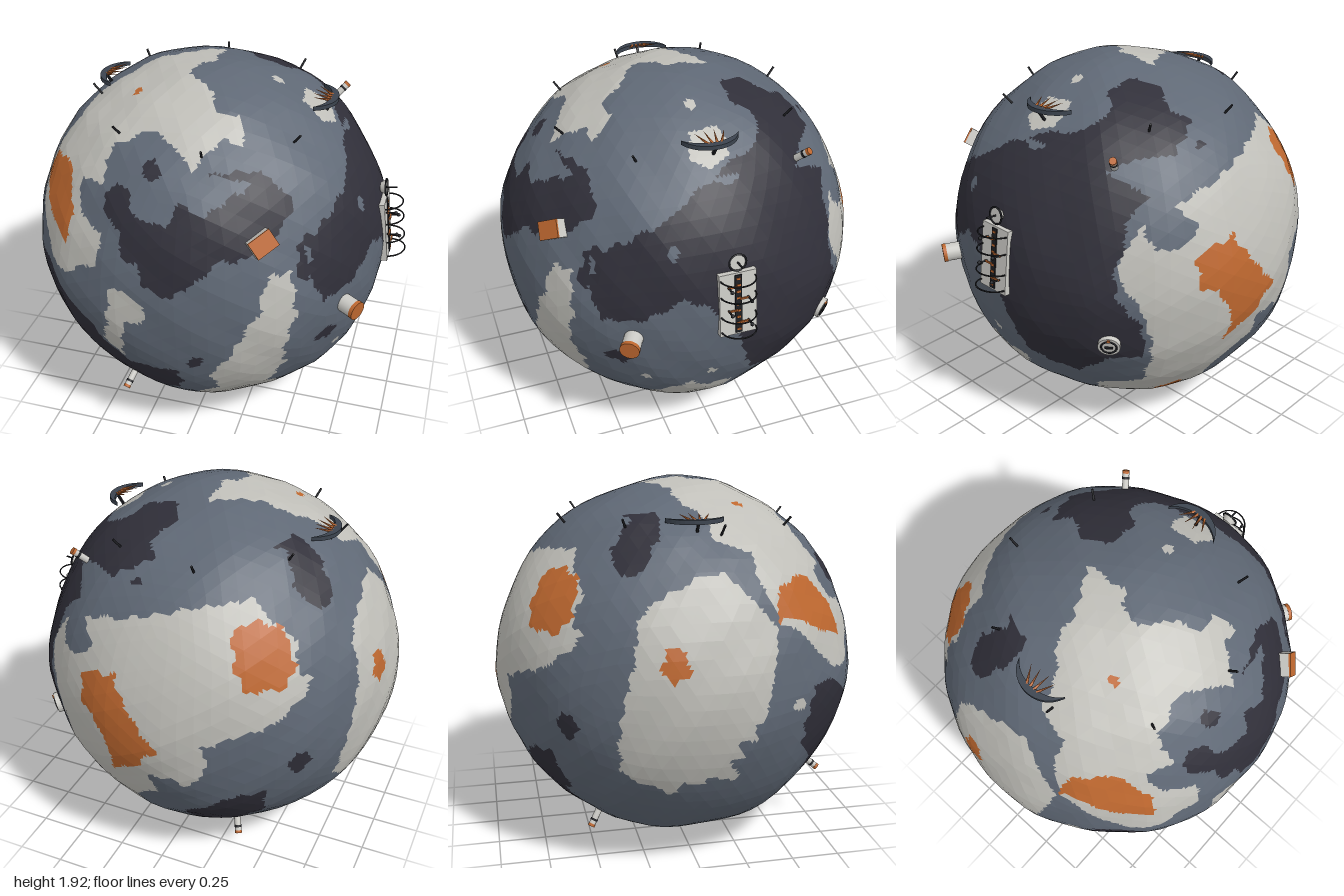
import * as THREE from 'three';

const mat = (name, color) => Object.assign(new THREE.MeshStandardMaterial({ color }), { name });
const M = {
  slate: mat('slate', 0x5f6875), light: mat('pale stone', 0xc0bfb9), dark: mat('charcoal', 0x302f39),
  orange: mat('rust orange', 0xbd672f), hull: mat('hull white', 0xcbcac5),
  black: mat('black', 0x1d1e22), gun: mat('gunmetal', 0x3c444f),
};
const CENTRE = new THREE.Vector3(-0.05, 0.957, 0);
const R = 0.955;

// A painting plane: d faces outward, u and v are its axes
const plane = (d, u, v) => ({ d: new THREE.Vector3(...d), u: new THREE.Vector3(...u), v: new THREE.Vector3(...v), patches: [] });
function tilted(azimuth, elevation) {
  const a = THREE.MathUtils.degToRad(azimuth), e = THREE.MathUtils.degToRad(elevation);
  const s = Math.sin(a), c = Math.cos(a), se = Math.sin(e), ce = Math.cos(e);
  return plane([s * ce, se, c * ce], [c, 0, -s], [-s * se, ce, -c * se]);
}
const front = plane([0, 0, 1], [1, 0, 0], [0, 1, 0]);
const side = plane([1, 0, 0], [0, 0, -1], [0, 1, 0]);
const top = plane([0, 1, 0], [1, 0, 0], [0, 0, 1]);
const backLeft = tilted(215, 28), backLow = tilted(138, -28);
const planes = [front, side, top, backLeft, backLow];

// Patch outlines in hundredths of a unit from the body centre; later ones cover earlier ones
const paint = (p, colour, ...pts) => p.patches.push({ colour, pts });
const dot = (p, colour, x, y, r) => paint(p, colour, x - r, y, x - r * 0.4, y + r, x + r * 0.6, y + r * 0.9, x + r, y, x + r * 0.4, y - r, x - r * 0.6, y - r * 0.8);

paint(front, 'light', -42, 85, -13, 98, 9, 98, 28, 85, 25, 73, 11, 69, 9, 82, -2, 83, -6, 78, -21, 75, -26, 68, -34, 67, -36, 56, -49, 52, -48, 40, -33, 35, -34, 21, -53, 8, -65, 7, -74, 19, -82, 35, -80, 45, -66, 70, -56, 80);
paint(front, 'orange', -64, 60, -57, 55, -57, 45, -52, 35, -56, 22, -69, 29, -82, 40, -77, 49);
paint(front, 'dark', -34, 53, -27, 57, -18, 56, -18, 48, -7, 47, 1, 45, 6, 55, 19, 51, 30, 59, 43, 64, 54, 60, 56, 51, 51, 43, 38, 33, 25, 32, 19, 24, 6, 13, -7, 16, -13, 27, -21, 29, -21, 40, -34, 45);
paint(front, 'dark', -79, 3, -69, 2, -53, -8, -40, -19, -34, -29, -21, -39, 6, -36, 7, -45, 3, -55, -10, -61, -16, -70, -37, -70, -48, -61, -56, -48, -69, -37, -77, -27, -80, -13);
paint(front, 'light', -26, 11, -16, 11, -7, 5, -9, -4, -19, -8, -21, -21, -24, -36, -34, -24, -29, -11);
paint(front, 'light', 49, 24, 59, 23, 62, 0, 57, -19, 57, -35, 48, -53, 53, -66, 38, -89, 6, -98, -16, -97, -42, -83, -29, -78, 6, -75, 11, -61, 25, -51, 22, -37, 30, -27, 38, -11, 46, 5);
paint(front, 'orange', 5, -78, 11, -79, 12, -84, 5, -84);
paint(front, 'orange', 23, -82, 30, -81, 27, -88, 21, -88);
paint(front, 'dark', 71, 53, 80, 57, 88, 40, 94, 24, 95, -8, 86, -5, 76, 0, 70, 9, 62, 21, 60, 35, 71, 40);
dot(front, 'dark', -11, 66, 5); dot(front, 'dark', 75, -22, 4); dot(front, 'dark', 16, -28, 4); dot(front, 'light', -84, -4, 3);

paint(top, 'light', 1, -19, -21, -7, -37, -5, -48, 5, -61, 8, -64, 24, -75, 27, -83, 40, -61, 75, -45, 72, -32, 56, -13, 52, -5, 59, 8, 67, 13, 59, 19, 52, 29, 50, 24, 40, 11, 40, 8, 29, -6, 20, -5, 8, 2, 3);
paint(top, 'light', -86, -45, -67, -67, -35, -88, 3, -98, 40, -88, 67, -67, 75, -51, 61, -63, 40, -75, 13, -76, -8, -73, -29, -67, -43, -59, -67, -48);
paint(top, 'dark', -64, -40, -51, -40, -39, -32, -43, -18, -53, -16, -67, -27);
paint(top, 'dark', 13, -56, 32, -61, 45, -53, 59, -45, 67, -29, 80, -13, 94, 8, 88, 40, 78, 56, 70, 40, 72, 8, 56, -21, 43, -29, 32, -18, 16, -21, 12, -35, 19, -45);
paint(top, 'light', 48, -7, 61, -9, 64, 5, 59, 13, 47, 8);
paint(top, 'dark', 16, 67, 30, 61, 43, 56, 58, 59, 59, 72, 20, 80);
paint(top, 'orange', -82, 35, -72, 36, -61, 51, -56, 72, -66, 74, -78, 55);
dot(top, 'orange', -31, 27, 2.5); dot(top, 'light', 35, 3, 3); dot(top, 'dark', -13, 70, 5);

paint(side, 'dark', -58, 38, -35, 50, -25, 54, -13, 65, 7, 65, 13, 72, 28, 77, 25, 86, 2, 94, 28, 91, 54, 73, 75, 59, 62, 52, 59, 39, 64, 23, 62, 8, 75, -5, 67, -23, 56, -39, 13, -41, 6, -23, 2, -5, -11, 10, -25, 18, -45, 5, -61, 2, -68, 21, -61, 26, -65, 38);
paint(side, 'light', -2, 84, 14, 84, 16, 78, 10, 71, -1, 75);
paint(side, 'light', 67, 47, 82, 44, 88, 29, 98, 3, 97, -23, 85, -46, 59, -72, 38, -92, 20, -87, 30, -76, 38, -55, 59, -47, 75, -29, 77, -13, 88, 3, 82, 13, 69, 29);
paint(side, 'light', -30, -52, -19, -42, -11, -49, 4, -49, 2, -57, -11, -65, -13, -75, -30, -76, -43, -66);
paint(side, 'light', -87, 24, -78, 21, -77, -13, -74, -39, -56, -60, -32, -80, -45, -86, -72, -67, -87, -39);
dot(side, 'dark', -55, -22, 5); dot(side, 'light', -10, -35, 2.5); dot(side, 'light', -41, -37, 2.5); dot(side, 'slate', -28, 40, 3);

paint(backLeft, 'light', -85, 27, -59, 23, -30, 25, 1, 27, 4, 18, 17, 7, 17, -10, 24, -13, 21, -19, 4, -33, -19, -39, -30, -42, -28, -56, -42, -65, -53, -68, -68, -58, -78, -58, -90, -30, -97, -10, -94, 13);
paint(backLeft, 'slate', -88, 21, -78, 20, -76, 12, -82, 5, -89, 12);
paint(backLeft, 'orange', -83, -10, -68, -2, -65, -16, -59, -28, -51, -42, -55, -53, -68, -56, -71, -39, -82, -25);
paint(backLeft, 'orange', -13, 13, -2, 17, 11, 13, 16, -5, 10, -16, -10, -16, -14, -5);
paint(backLeft, 'light', -22, 87, 4, 96, 33, 88, 61, 74, 80, 55, 88, 39, 94, 13, 92, -16, 78, -53, 56, -70, 41, -68, 47, -39, 50, -16, 47, 4, 59, 27, 68, 41, 61, 53, 36, 59, 24, 73, -2, 77, -7, 84);
paint(backLeft, 'orange', 61, -7, 68, -5, 70, -13, 65, -22, 60, -16);
paint(backLeft, 'orange', 79, 53, 87, 49, 94, 33, 89, 27, 82, 39);
paint(backLeft, 'dark', -74, 41, -76, 53, -53, 73, -33, 79, -25, 76, -28, 64, -42, 50, -51, 39);
paint(backLeft, 'dark', 18, 53, 30, 56, 36, 44, 40, 24, 30, 18, 20, 30);
paint(backLeft, 'dark', -25, -76, -16, -71, 2, -70, 4, -82, -5, -97, -22, -92);
dot(backLeft, 'dark', 18, -55, 6); dot(backLeft, 'slate', 42, -74, 5);

paint(backLow, 'dark', -79, 44, -61, 58, -44, 78, -20, 92, -5, 92, -4, 81, -14, 72, -13, 49, -1, 35, 2, 15, -18, 12, -30, -8, -62, -3, -63, 12, -76, 26, -87, 21);
paint(backLow, 'light', -13, 74, 5, 84, 36, 81, 56, 67, 76, 55, 91, 21, 93, 12, 79, 9, 62, 12, 59, -2, 39, -14, 36, -25, 51, -48, 48, -66, 30, -71, 16, -80, -4, -83, -10, -74, 2, -66, -1, -54, -21, -43, -21, -25, 2, -8, 5, 21, -1, 44, -11, 55);
paint(backLow, 'slate', -1, 78, 13, 82, 28, 75, 25, 68, 5, 68);
paint(backLow, 'orange', 26, 61, 45, 67, 49, 55, 56, 49, 67, 29, 59, 21, 42, 12, 45, 29, 36, 44, 28, 49);
paint(backLow, 'orange', 9, -29, 22, -25, 26, -36, 16, -48, 5, -45);
paint(backLow, 'dark', 52, -45, 59, -25, 76, -17, 83, -22, 76, -40, 59, -54);
paint(backLow, 'light', -73, -20, -59, -17, -56, -31, -64, -40, -61, -57, -70, -60, -77, -37);
paint(backLow, 'dark', -37, -60, -28, -56, -18, -61, -25, -68, -35, -68);
paint(backLow, 'light', -56, -71, -44, -80, -21, -86, -4, -97, -33, -92);

function inside(pts, x, y) {
  let hit = false;
  for (let i = 0, j = pts.length - 2; i < pts.length; j = i, i += 2) {
    if ((pts[i + 1] > y) !== (pts[j + 1] > y) &&
      x < ((pts[j] - pts[i]) * (y - pts[i + 1])) / (pts[j + 1] - pts[i + 1]) + pts[i]) hit = !hit;
  }
  return hit;
}

// Colour at a direction: read from the plane that faces it best, with slightly ragged edges
function colourAt(dir) {
  const p = planes.reduce((a, b) => (dir.dot(b.d) > dir.dot(a.d) ? b : a));
  const x = dir.dot(p.u) * R * 100 + Math.sin(dir.y * 47 + dir.z * 31) * 0.9;
  const y = dir.dot(p.v) * R * 100 + Math.sin(dir.x * 43 - dir.z * 37) * 0.9;
  let colour = 'slate';
  for (const patch of p.patches) if (inside(patch.pts, x, y)) colour = patch.colour;
  return colour;
}

// Lumpy faceted rock; each flat facet is cut finely so patches get clean borders
function buildBody() {
  const pos = new THREE.IcosahedronGeometry(1, 12).attributes.position;
  const corner = (i) => {
    const d = new THREE.Vector3().fromBufferAttribute(pos, i).normalize();
    const lump = Math.sin(d.x * 5 + 1) * Math.sin(d.y * 6 + 2) * Math.sin(d.z * 5 + 0.5) * 0.014
      + Math.sin(d.x * 13 + d.y * 9) * Math.sin(d.z * 14 - d.y * 8) * 0.006;
    return d.multiplyScalar(R + lump);
  };
  const buckets = { slate: [], light: [], dark: [], orange: [] };
  const N = 4;
  for (let t = 0; t < pos.count; t += 3) {
    const a = corner(t), ab = corner(t + 1).sub(a), ac = corner(t + 2).sub(a);
    const at = (i, j) => a.clone().addScaledVector(ab, i / N).addScaledVector(ac, j / N);
    const add = (...tri) => {
      const mid = new THREE.Vector3().add(tri[0]).add(tri[1]).add(tri[2]).normalize();
      const out = buckets[colourAt(mid)];
      tri.forEach((p) => out.push(p.x, p.y, p.z));
    };
    for (let i = 0; i < N; i++) for (let j = 0; i + j < N; j++) {
      add(at(i, j), at(i + 1, j), at(i, j + 1));
      if (i + j < N - 1) add(at(i + 1, j), at(i + 1, j + 1), at(i, j + 1));
    }
  }
  const body = new THREE.Group();
  body.name = 'rockBody';
  body.position.copy(CENTRE);
  for (const [key, arr] of Object.entries(buckets)) {
    const g = new THREE.BufferGeometry().setAttribute('position', new THREE.Float32BufferAttribute(arr, 3));
    g.computeVertexNormals();
    part(body, key + 'Ground', g, M[key]);
  }
  return body;
}

function part(parent, name, geo, material, x = 0, y = 0, z = 0) {
  const m = new THREE.Mesh(geo, material);
  m.name = name;
  m.position.set(x, y, z);
  parent.add(m);
  return m;
}
const rod = (r, len, n = 10, r2 = r) => new THREE.CylinderGeometry(r2, r, len, n).rotateX(Math.PI / 2);
const box = (w, h, d) => new THREE.BoxGeometry(w, h, d);

// Group on the surface whose local +z points outward
function mount(root, name, x, y, z, lift = 0) {
  const g = new THREE.Group(), d = new THREE.Vector3(x, y, z).normalize();
  g.name = name;
  g.position.copy(CENTRE).addScaledVector(d, R + lift);
  g.lookAt(g.position.clone().add(d));
  root.add(g);
  return g;
}

export function createModel() {
  const root = new THREE.Group();
  root.name = 'asteroidBase';
  root.add(buildBody());

  // Docking panel with strip, knobbed rods, hoops and a small dish
  const panel = mount(root, 'dockPanel', 0.95, 0.125, 0, -0.015);
  part(panel, 'panelPlate', box(0.19, 0.34, 0.05), M.hull);
  part(panel, 'panelStrip', box(0.035, 0.32, 0.006), M.black, 0, 0, 0.027);
  for (let i = 0; i < 9; i++) part(panel, 'stripRung', box(0.02, 0.01, 0.004), M.orange, 0, -0.14 + i * 0.035, 0.031);
  [0.1, 0.03, -0.03, -0.1].forEach((y, i) => {
    const s = i % 2 ? 1 : -1;
    part(panel, 'panelArm', box(0.05, 0.008, 0.008), M.orange, s * 0.03, y, 0.035);
    part(panel, 'panelRod', rod(0.005, 0.06, 6), M.black, s * 0.05, y, 0.05);
    part(panel, 'rodKnob', new THREE.SphereGeometry(0.01, 8, 6), M.black, s * 0.05, y, 0.075);
  });
  for (const y of [0.14, 0.05, -0.06, -0.145]) {
    part(panel, 'panelHoop', new THREE.TorusGeometry(0.088, 0.004, 6, 20, Math.PI).rotateX(Math.PI / 2), M.black, 0, y, 0.02);
  }
  const dish = new THREE.Group();
  dish.name = 'dish';
  dish.position.set(0, 0.225, 0.01);
  panel.add(dish);
  part(dish, 'dishBowl', rod(0.025, 0.03, 16, 0.042), M.hull);
  part(dish, 'dishRim', new THREE.TorusGeometry(0.043, 0.005, 6, 20), M.black, 0, 0, 0.015);
  part(dish, 'dishSpike', rod(0.005, 0.08, 6), M.black, 0, 0, 0.03);

  // Crate with painted lid
  const crate = mount(root, 'crate', 0.46, 0.41, 0.78, 0.01);
  crate.rotateZ(0.5);
  part(crate, 'crateBox', box(0.12, 0.09, 0.07), M.hull);
  part(crate, 'crateLid', box(0.122, 0.092, 0.009), M.orange, 0, 0, 0.037);

  // Thruster pod
  const pod = mount(root, 'pod', 0.86, -0.07, 0.51, 0.02);
  part(pod, 'podBody', rod(0.048, 0.1, 18), M.hull);
  part(pod, 'podCap', rod(0.05, 0.02, 18), M.orange, 0, 0, 0.055);

  // Round hatch
  const hatch = mount(root, 'hatch', 0.73, -0.22, -0.57, 0);
  part(hatch, 'hatchDisc', rod(0.056, 0.05, 18), M.hull);
  part(hatch, 'hatchRing', new THREE.TorusGeometry(0.038, 0.005, 6, 20), M.black, 0, 0, 0.026);
  part(hatch, 'hatchBar', box(0.04, 0.01, 0.01), M.black, 0, 0, 0.028);
  part(hatch, 'hatchTab', box(0.016, 0.012, 0.012), M.orange, 0, 0.045, 0.027);

  // Barrels
  for (const d of [[-0.25, -0.6, 0.72], [-0.29, -0.81, -0.48], [0.58, 0.64, -0.46]]) {
    const barrel = mount(root, 'barrel', ...d, 0.03);
    part(barrel, 'barrelTube', rod(0.018, 0.11), M.hull);
    part(barrel, 'barrelBand', rod(0.02, 0.012), M.black, 0, 0, 0.025);
    part(barrel, 'barrelTip', rod(0.019, 0.015), M.orange, 0, 0, 0.056);
  }

  // Whip aerials
  for (const [x, z] of [[-0.09, -0.59], [0.36, -0.48], [-0.47, -0.33], [-0.59, 0.12], [-0.33, 0.52], [0.12, 0.62], [0.51, 0.36]]) {
    part(mount(root, 'aerial', x, Math.sqrt(0.94 - x * x - z * z), z, 0.02), 'aerialRod', rod(0.006, 0.08, 6), M.black);
  }

  // Crescent landing rings with fanned blades, mirrored
  const crescent = new THREE.Shape();
  crescent.moveTo(-0.02, 0.145);
  crescent.bezierCurveTo(0.115, 0.1, 0.115, -0.1, -0.02, -0.145);
  crescent.bezierCurveTo(0.065, -0.08, 0.065, 0.08, -0.02, 0.145);
  const ringGeo = new THREE.ExtrudeGeometry(crescent, { depth: 0.022, bevelEnabled: false, curveSegments: 16 }).rotateX(-Math.PI / 2);
  for (const s of [1, -1]) {
    const ring = new THREE.Group();
    ring.name = s > 0 ? 'leftRing' : 'rightRing';
    ring.position.set(-0.035 + s * 0.55, 1.757, 0);
    if (s < 0) ring.rotation.y = Math.PI;
    root.add(ring);
    part(ring, 'crescent', ringGeo, M.gun);
    for (const a of [-0.5, -0.17, 0.17, 0.5]) {
      const blade = new THREE.ConeGeometry(0.009, 0.11, 6).rotateZ(Math.PI / 2).translate(-0.055, 0, 0);
      part(ring, 'blade', blade, M.orange, 0.06, 0.012, a * 0.05).rotation.set(0, a, -0.25);
    }
    part(ring, 'strut', box(0.012, 0.07, 0.012), M.black, 0.04, -0.03, 0).rotation.z = -0.6;
  }
  return root;
}
